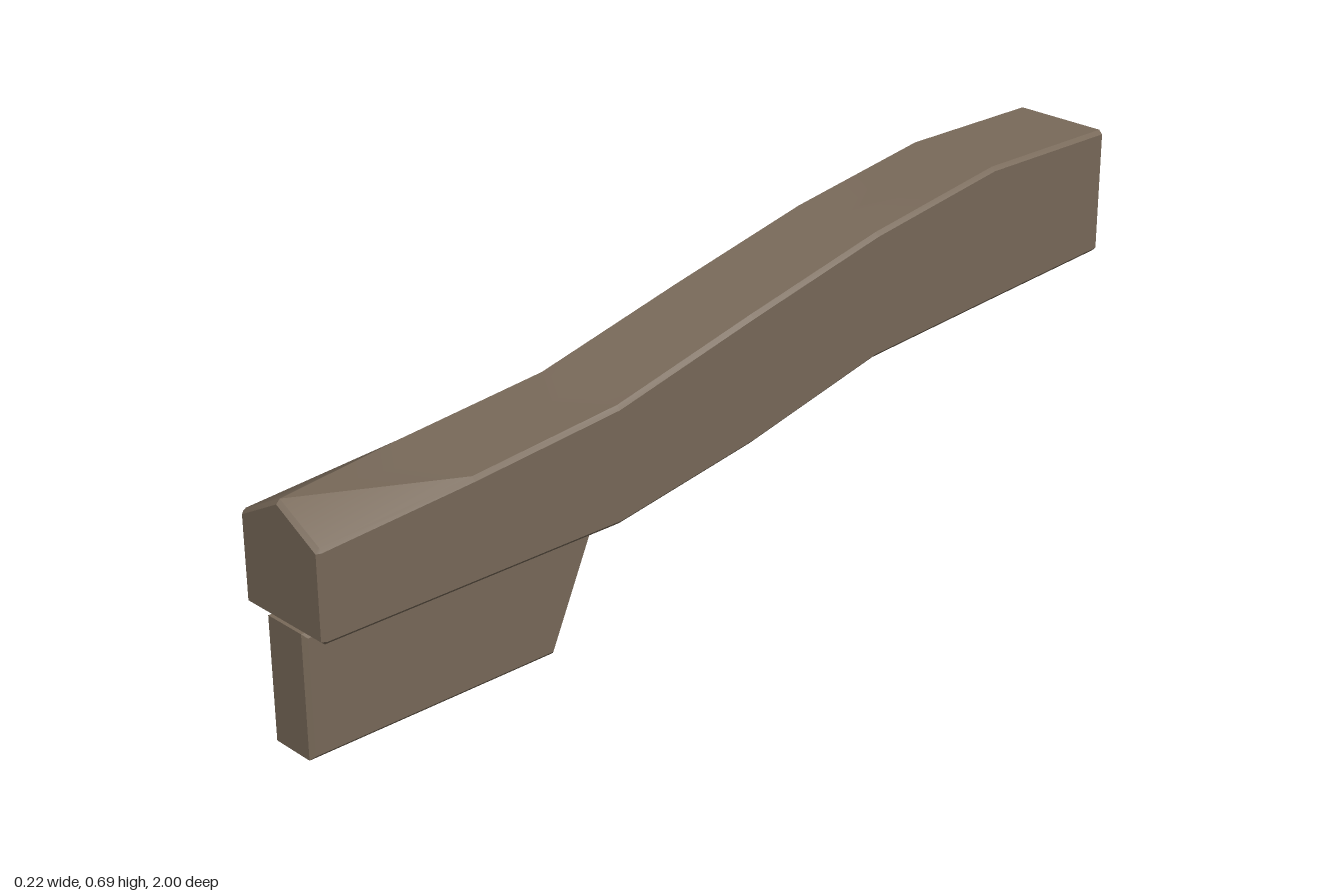
import * as THREE from 'three';
import { toCreasedNormals } from 'three/addons/utils/BufferGeometryUtils.js';

const BEVEL = 0.008;

// Nine-point cross-section, counter-clockwise seen from the front
function section(z, bottom, top, peak = top, w = 0.111, c = BEVEL) {
  const v = w - c;
  return [
    [-v, bottom], [v, bottom], [w, bottom + c], [w, top - c], [v, top],
    [0, peak], [-v, top], [-w, top - c], [-w, bottom + c],
  ].map(([x, y]) => new THREE.Vector3(x, y, z));
}

// Joins the sections into a closed solid
function loft(rings) {
  const pos = [];
  const tri = (a, b, c) => {
    if (new THREE.Triangle(a, b, c).getArea() < 1e-9) return;
    for (const p of [a, b, c]) pos.push(p.x, p.y, p.z);
  };
  const n = rings[0].length;
  for (let k = 0; k < rings.length - 1; k++) {
    const a = rings[k], b = rings[k + 1];
    for (let i = 0; i < n; i++) {
      const j = (i + 1) % n;
      // mirror the diagonals so that both roof halves fold alike
      if (i < 5) {
        tri(a[i], b[i], a[j]);
        tri(a[j], b[i], b[j]);
      } else {
        tri(a[i], b[i], b[j]);
        tri(a[i], b[j], a[j]);
      }
    }
  }
  const front = rings[0], back = rings[rings.length - 1];
  for (let i = 1; i < n - 1; i++) {
    tri(front[0], front[i], front[i + 1]);
    tri(back[0], back[i + 1], back[i]);
  }
  const g = new THREE.BufferGeometry();
  g.setAttribute('position', new THREE.Float32BufferAttribute(pos, 3));
  g.computeVertexNormals();
  return toCreasedNormals(g, 0.4);
}

export function createModel() {
  const group = new THREE.Group();
  group.name = 'beamWithBracket';
  const wood = new THREE.MeshStandardMaterial({ color: 0x786959 });
  wood.name = 'weathered wood';

  // Curved beam with a pointed front end
  const beam = new THREE.Mesh(loft([
    section(1, 0.253, 0.417, 0.472, 0.104, 0),
    section(0.992, 0.246, 0.427, 0.48),
    section(0.667, 0.246, 0.45),
    section(0.333, 0.246, 0.481),
    section(0, 0.301, 0.562),
    section(-0.333, 0.379, 0.638),
    section(-0.667, 0.403, 0.69),
    section(-1, 0.426, 0.69),
  ]), wood);
  beam.name = 'beam';
  group.add(beam);

  // Slanted bracket below the front, profile drawn as (z, y)
  const profile = new THREE.Shape([
    [1, 0], [1, 0.246], [0.342, 0.246], [0.45, 0],
  ].map(([z, y]) => new THREE.Vector2(z, y)));
  const depth = 0.11 - 2 * BEVEL;
  const bracketGeometry = new THREE.ExtrudeGeometry(profile, {
    depth, bevelEnabled: true, bevelSegments: 1,
    bevelSize: BEVEL, bevelThickness: BEVEL, bevelOffset: -BEVEL,
  });
  bracketGeometry.translate(0, 0, -depth / 2);
  bracketGeometry.rotateY(-Math.PI / 2);
  const bracket = new THREE.Mesh(bracketGeometry, wood);
  bracket.name = 'bracket';
  group.add(bracket);

  return group;
}
